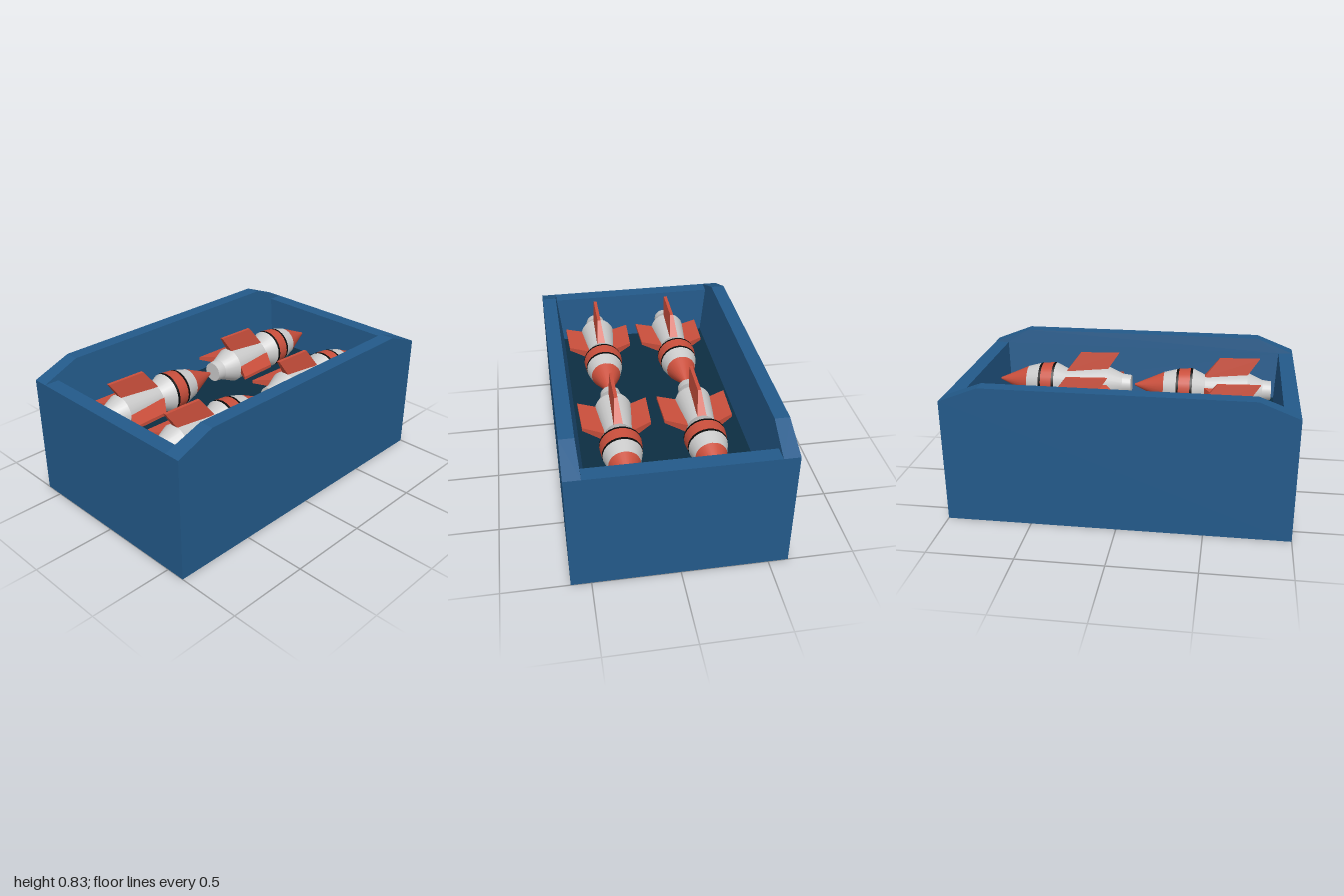
import * as THREE from 'three';

export function createModel() {
  const mat = (name, color, side = THREE.FrontSide) => {
    const m = new THREE.MeshStandardMaterial({ color, side });
    m.name = name;
    return m;
  };
  const blue = mat('crate blue', 0x235a8a, THREE.DoubleSide);
  const navy = mat('floor navy', 0x0d2e42, THREE.DoubleSide);
  const white = mat('rocket white', 0xcbcbcb);
  const red = mat('rocket red', 0xca4f3c);
  const black = mat('ring black', 0x080808);

  const model = new THREE.Group();
  const add = (parent, name, geometry, material) => {
    const mesh = new THREE.Mesh(geometry, material);
    mesh.name = name;
    parent.add(mesh);
    return mesh;
  };

  // Flat-faced geometry from quads, each turned to face away from a given centre
  function quads(list, centre) {
    const pos = [];
    const c = new THREE.Vector3(...centre);
    for (const q of list) {
      let [a, b, d, e] = q.map(p => new THREE.Vector3(...p));
      const n = b.clone().sub(a).cross(d.clone().sub(a));
      const mid = a.clone().add(d).multiplyScalar(0.5);
      if (n.dot(mid.sub(c)) < 0) [b, e] = [e, b];
      for (const v of [a, b, d, a, d, e]) pos.push(v.x, v.y, v.z);
    }
    const g = new THREE.BufferGeometry();
    g.setAttribute('position', new THREE.Float32BufferAttribute(pos, 3));
    g.computeVertexNormals();
    return g;
  }

  // ---- Crate: open shell, hollow underneath, with a tapered tray inside ----
  const D = 0.615, LOW = 0.74, TOP = 0.83, FLOOR = 0.44;
  const innerZ = y => 0.53 - 0.11 * (TOP - y);
  const topLine = [[-1, LOW], [-0.77, TOP], [0.77, TOP], [1, LOW]];
  const crate = new THREE.Group();
  crate.name = 'crate';
  model.add(crate);

  // Side panel drawn in xy, then pushed to z by a rule
  function sidePanel(points, zOf, faceSign) {
    const g = new THREE.ShapeGeometry(new THREE.Shape(points.map(p => new THREE.Vector2(...p))));
    const p = g.attributes.position;
    for (let i = 0; i < p.count; i++) p.setZ(i, zOf(p.getY(i)));
    if (faceSign < 0) g.setIndex(Array.from(g.index.array).reverse());
    g.computeVertexNormals();
    return g;
  }

  for (const s of [1, -1]) {
    const side = s > 0 ? 'front' : 'back';
    add(crate, side + 'OuterWall', sidePanel([...topLine, [1, 0], [-1, 0]], () => s * D, s), blue);
    add(crate, side + 'InnerWall', sidePanel(
      [...topLine, [0.91, LOW], [0.895, FLOOR], [-0.895, FLOOR], [-0.91, LOW]],
      y => s * innerZ(y), -s), blue);
    const rim = topLine.slice(1).map(([x1, y1], i) => {
      const [x0, y0] = topLine[i];
      return [[x0, y0, s * D], [x1, y1, s * D], [x1, y1, s * innerZ(y1)], [x0, y0, s * innerZ(y0)]];
    });
    add(crate, side + 'Rim', quads(rim, [0, -5, 0]), blue);

    const end = s > 0 ? 'left' : 'right';
    const zr = innerZ(LOW), zf = innerZ(FLOOR);
    add(crate, end + 'OuterWall', quads(
      [[[s, 0, D], [s, 0, -D], [s, LOW, -D], [s, LOW, D]]], [0, 0, 0]), blue);
    add(crate, end + 'Rim', quads(
      [[[s, LOW, zr], [s, LOW, -zr], [s * 0.91, LOW, -zr], [s * 0.91, LOW, zr]]], [0, -5, 0]), blue);
    add(crate, end + 'InnerWall', quads(
      [[[s * 0.91, LOW, zr], [s * 0.91, LOW, -zr], [s * 0.895, FLOOR, -zf], [s * 0.895, FLOOR, zf]]],
      [s * 5, 0.6, 0]), blue);
  }
  const fz = innerZ(FLOOR);
  add(crate, 'floor', quads(
    [[[-0.895, FLOOR, fz], [0.895, FLOOR, fz], [0.895, FLOOR, -fz], [-0.895, FLOOR, -fz]]],
    [0, -5, 0]), navy);

  // ---- Rockets lying along x, nose towards +x ----
  // Body sections: name, start x, start radius, end x, end radius, material
  const sections = [
    ['nozzle', -0.865, 0.06, -0.81, 0.066, white],
    ['tailFlare', -0.81, 0.066, -0.715, 0.108, white],
    ['body', -0.715, 0.108, -0.45, 0.082, white],
    ['shoulder', -0.45, 0.082, -0.37, 0.12, white],
    ['rearRing', -0.37, 0.12, -0.355, 0.121, black],
    ['band', -0.355, 0.121, -0.282, 0.114, red],
    ['frontRing', -0.282, 0.114, -0.267, 0.112, black],
    ['collar', -0.267, 0.112, -0.185, 0.09, white],
    ['noseCone', -0.185, 0.09, 0.005, 0.006, red],
  ].map(([name, x0, r0, x1, r1, material]) => {
    const g = new THREE.CylinderGeometry(r1, r0, x1 - x0, 24, 1, true);
    g.rotateZ(-Math.PI / 2).translate((x0 + x1) / 2, 0, 0);
    return [name, g, material];
  });
  const tailCap = new THREE.CircleGeometry(0.06, 24).rotateY(-Math.PI / 2).translate(-0.865, 0, 0);
  const noseCap = new THREE.CircleGeometry(0.006, 12).rotateY(Math.PI / 2).translate(0.005, 0, 0);

  // Swept fin, thick at the root and thin at the tip
  const ring = (xa, ya, xb, yb, h) => [[xa, ya, h], [xb, yb, h], [xb, yb, -h], [xa, ya, -h]];
  const root = ring(-0.7, 0.08, -0.445, 0.08, 0.026);
  const tip = ring(-0.785, 0.207, -0.535, 0.2, 0.01);
  const finGeometry = quads(
    [root, tip, ...root.map((p, i) => [p, root[(i + 1) % 4], tip[(i + 1) % 4], tip[i]])],
    [-0.615, 0.14, 0]);

  for (const x of [0, 0.893]) {
    for (const z of [-0.213, 0.267]) {
      const rocket = new THREE.Group();
      rocket.name = 'rocket';
      rocket.position.set(x, 0.57, z);
      for (const [name, g, material] of sections) add(rocket, name, g, material);
      add(rocket, 'tailCap', tailCap, white);
      add(rocket, 'noseCap', noseCap, red);
      for (const turn of [-1, 0, 1]) {
        add(rocket, 'fin', finGeometry, red).rotation.x = turn * Math.PI / 2;
      }
      model.add(rocket);
    }
  }
  return model;
}
